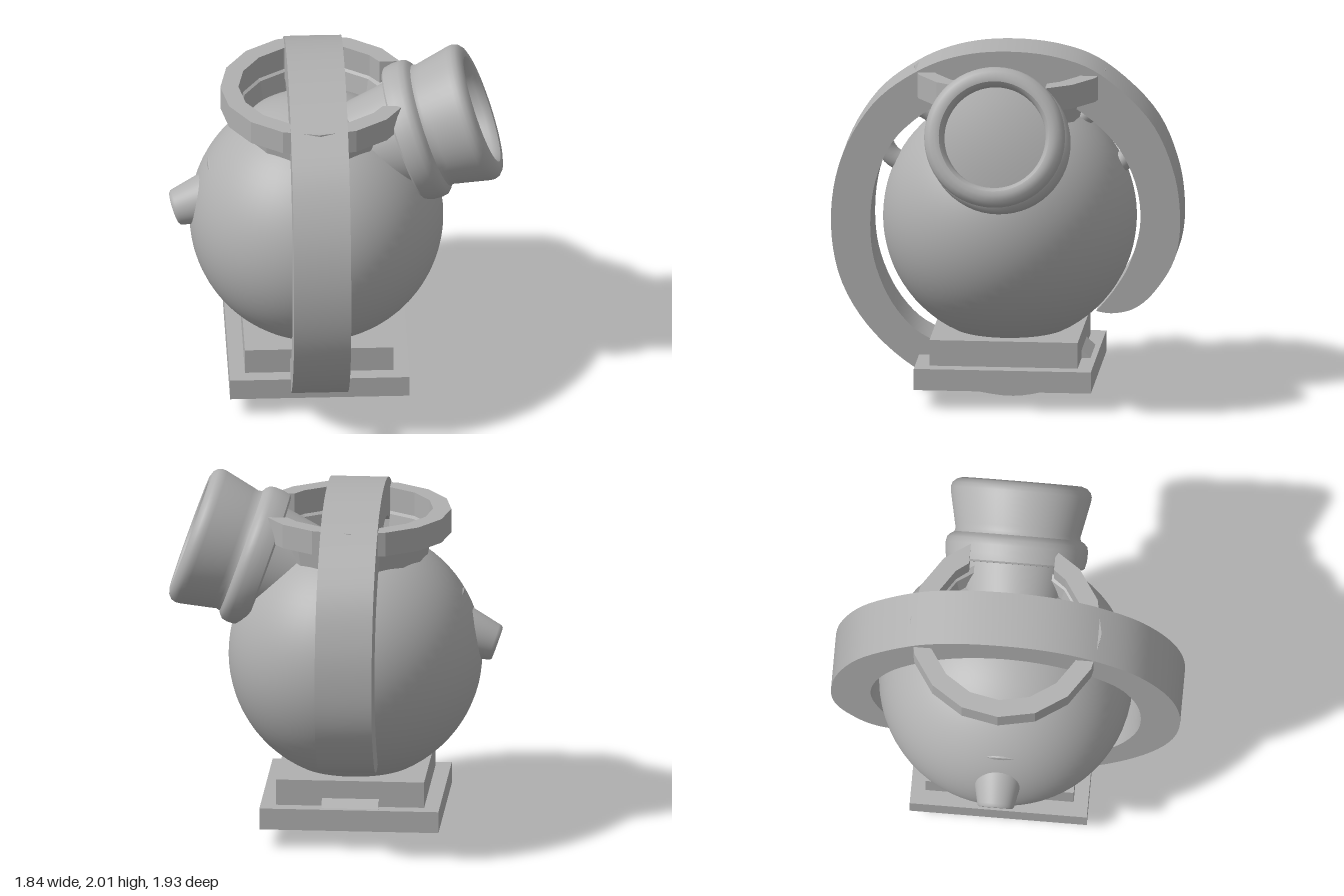
import * as THREE from 'three';
import { toCreasedNormals } from 'three/addons/utils/BufferGeometryUtils.js';

const V = (x, y) => new THREE.Vector2(x, y);

export function createModel() {
  const model = new THREE.Group();
  const grey = new THREE.MeshStandardMaterial({ color: 0xb0b0b0 });
  grey.name = 'stoneGrey';
  const greyThin = grey;
  greyThin.side = THREE.DoubleSide;

  const add = (name, geometry, x = 0, y = 0, z = 0) => {
    const mesh = new THREE.Mesh(geometry, grey);
    mesh.name = name;
    mesh.position.set(x, y, z);
    model.add(mesh);
    return mesh;
  };
  const cx = -0.1, cz = -0.01;

  // Globe body and stepped square base
  add('globe', new THREE.SphereGeometry(0.7, 64, 40), cx, 0.985, cz);
  add('upperBase', new THREE.BoxGeometry(0.82, 0.145, 0.82), cx, 0.2925, cz);
  add('lowerBase', new THREE.BoxGeometry(0.99, 0.12, 0.98), cx, 0.16, cz);

  // Open C-shaped band, drawn in side profile and extruded across x
  const band = new THREE.Shape();
  band.moveTo(0.45, 0.11);
  band.splineThru([V(0.22, 0.025), V(-0.04, 0), V(-0.42, 0.1), V(-0.72, 0.33), V(-0.91, 0.63),
    V(-0.968, 0.98), V(-0.91, 1.33), V(-0.74, 1.63), V(-0.51, 1.815), V(-0.27, 1.915), V(0, 1.948),
    V(0.29, 1.92), V(0.535, 1.82), V(0.8, 1.57), V(0.93, 1.28), V(0.965, 1.0), V(0.93, 0.78),
    V(0.82, 0.6), V(0.71, 0.505), V(0.59, 0.476), V(0.5, 0.487)]);
  band.splineThru([V(0.6, 0.61), V(0.69, 0.77), V(0.745, 1.0), V(0.71, 1.24), V(0.58, 1.47),
    V(0.32, 1.67), V(0, 1.74), V(-0.32, 1.67), V(-0.59, 1.47), V(-0.71, 1.24), V(-0.75, 0.98),
    V(-0.72, 0.72), V(-0.6, 0.47), V(-0.4, 0.305), V(0, 0.22), V(0.38, 0.3)]);
  band.lineTo(0.43, 0.255);
  band.lineTo(0.48, 0.21);
  band.closePath();
  const bandGeo = new THREE.ExtrudeGeometry(band, { depth: 0.315, bevelEnabled: false, curveSegments: 5 });
  bandGeo.rotateY(Math.PI / 2);
  add('curvedBand', toCreasedNormals(bandGeo, 0.5), -0.26, 0, 0);

  // Sixteen-sided collar, open where the scope passes through
  const gapZ = 0.235;
  const collarArc = (r) => {
    const pts = [];
    const edge = Math.sqrt(r * r - gapZ * gapZ) * 0.99;
    pts.push(V(edge, gapZ));
    for (let i = 1; i < 16; i++) {
      const a = (i * Math.PI) / 8;
      const p = V(r * Math.cos(a), r * Math.sin(a));
      if (p.x < edge) pts.push(p);
    }
    pts.push(V(edge, -gapZ));
    return pts;
  };
  const collarGeo = new THREE.ExtrudeGeometry(
    new THREE.Shape([...collarArc(0.53), ...collarArc(0.43).reverse()]),
    { depth: 0.135, bevelEnabled: false });
  collarGeo.rotateX(-Math.PI / 2);
  add('collar', collarGeo, cx, 1.685, cz);

  // Thin faceted neck between globe and collar
  const neckGeo = new THREE.LatheGeometry([V(0.39, 1.5), V(0.42, 1.67), V(0.45, 1.69)], 16);
  add('neck', toCreasedNormals(neckGeo, 0.2), cx, 0, cz);

  // Small ring lugs holding the band
  for (const side of [-1, 1]) {
    const lug = add('ringLug', new THREE.TorusGeometry(0.165, 0.055, 16, 40), cx, 1.43, side * 0.53);
    lug.rotation.y = Math.PI / 2;
  }

  // Tilted scope: one axis through the globe, from eyepiece to lens
  const scope = new THREE.Group();
  scope.name = 'scope';
  scope.position.set(0.8175, 1.652, 0);
  scope.rotation.z = -THREE.MathUtils.degToRad(70.55);
  model.add(scope);
  const turned = (name, profile) => {
    const geo = new THREE.LatheGeometry(profile.map(([r, s]) => V(r, s)), 56);
    const mesh = new THREE.Mesh(toCreasedNormals(geo, 0.65), grey);
    mesh.name = name;
    scope.add(mesh);
  };
  turned('lensBarrel', [[0, -0.46], [0.37, -0.46], [0.383, -0.45], [0.392, -0.41], [0.394, -0.36],
    [0.388, -0.33], [0.37, -0.312], [0.35, -0.3], [0.345, -0.28], [0.352, -0.25], [0.388, -0.08],
    [0.39, -0.055], [0.382, -0.03], [0.36, -0.01], [0.33, 0], [0.305, -0.004], [0.29, -0.02],
    [0.282, -0.045], [0.28, -0.1]]);
  turned('lensGlass', [[0.282, -0.09], [0.2, -0.077], [0.1, -0.069], [0, -0.066]]);
  turned('scopeNeck', [[0.24, -0.9], [0.27, -0.7], [0.31, -0.45]]);
  turned('eyepieceFlange', [[0, -1.54], [0.21, -1.54], [0.226, -1.53], [0.226, -1.3]]);
  turned('eyepiece', [[0, -1.76], [0.05, -1.76], [0.055, -1.8], [0.09, -1.803], [0.1, -1.795],
    [0.104, -1.78], [0.152, -1.56], [0.155, -1.5]]);
  return model;
}
